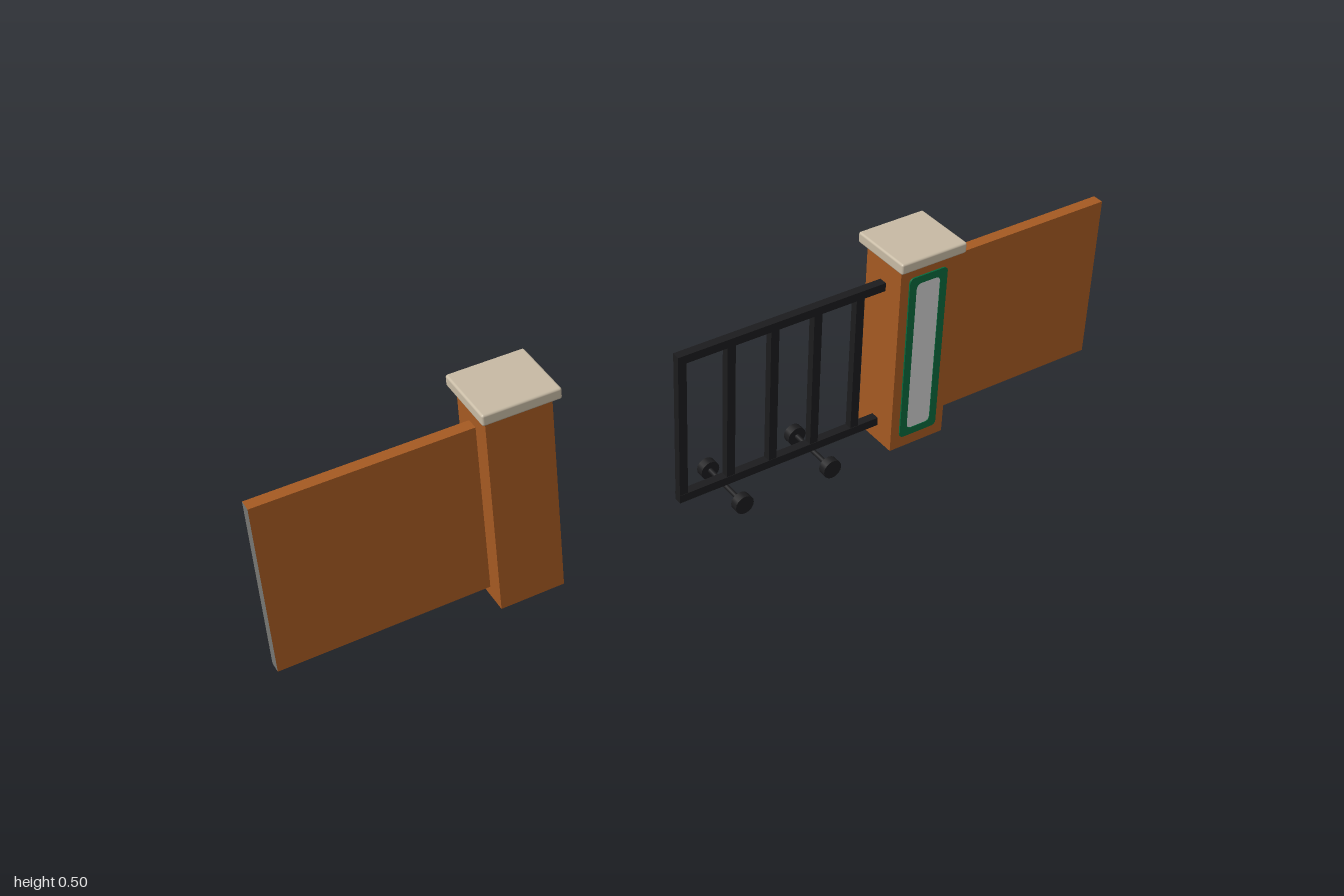
import * as THREE from 'three';
import { RoundedBoxGeometry } from 'three/addons/geometries/RoundedBoxGeometry.js';

const mat = (name, color) => {
  const m = new THREE.MeshStandardMaterial({ color });
  m.name = name;
  return m;
};

// Flat rounded rectangle outline centred on the origin
function roundedRect(Type, w, h, r) {
  const s = new Type(), x = w / 2, y = h / 2;
  s.moveTo(-x + r, -y);
  s.lineTo(x - r, -y);
  s.quadraticCurveTo(x, -y, x, -y + r);
  s.lineTo(x, y - r);
  s.quadraticCurveTo(x, y, x - r, y);
  s.lineTo(-x + r, y);
  s.quadraticCurveTo(-x, y, -x, y - r);
  s.lineTo(-x, -y + r);
  s.quadraticCurveTo(-x, -y, -x + r, -y);
  return s;
}

export function createModel() {
  const root = new THREE.Group();
  root.name = 'slidingGateEntrance';
  const brick = mat('terracotta', 0xa65a22);
  const stone = mat('cap stone', 0xc8bba5);
  const grey = mat('wall end grey', 0x777773);
  const black = mat('black iron', 0x1c1c1e);
  const green = mat('green frame', 0x08693c);
  const white = mat('sign panel', 0xcfd0d0);

  const add = (parent, name, geo, material, x, y, z) => {
    const m = new THREE.Mesh(geo, material);
    m.name = name;
    m.position.set(x, y, z);
    parent.add(m);
    return m;
  };

  // Pillars with caps, and a wall running outward from each
  for (const [side, px] of [[-1, -0.476], [1, 0.483]]) {
    const g = new THREE.Group();
    g.name = side < 0 ? 'rightSide' : 'leftSide';
    root.add(g);
    add(g, 'pillar', new THREE.BoxGeometry(0.142, 0.476, 0.12), brick, px, 0.238, 0);
    add(g, 'pillarCap', new RoundedBoxGeometry(0.168, 0.026, 0.156, 2, 0.005), stone, px, 0.487, 0);
    const inner = Math.abs(px) + 0.06, len = 1 - inner;
    const faces = [grey, grey, brick, brick, brick, brick];
    add(g, 'wall', new THREE.BoxGeometry(len, 0.403, 0.027), faces, side * (inner + len / 2), 0.2265, 0.001);
  }

  // Framed sign on the front and back of one pillar
  const frame = roundedRect(THREE.Shape, 0.098, 0.416, 0.012);
  frame.holes.push(roundedRect(THREE.Path, 0.062, 0.38, 0.014));
  const frameGeo = new THREE.ExtrudeGeometry(frame, { depth: 0.004, bevelEnabled: false, curveSegments: 5 });
  const panelGeo = new THREE.ExtrudeGeometry(roundedRect(THREE.Shape, 0.066, 0.384, 0.014),
    { depth: 0.0025, bevelEnabled: false, curveSegments: 5 });
  for (const s of [1, -1]) {
    const sign = new THREE.Group();
    sign.name = s > 0 ? 'frontSign' : 'backSign';
    sign.position.set(0.483, 0.237, s * 0.0595);
    if (s < 0) sign.rotation.y = Math.PI;
    add(sign, 'signFrame', frameGeo, green, 0, 0, 0);
    add(sign, 'signPanel', panelGeo, white, 0, 0, 0);
    root.add(sign);
  }

  // Sliding gate: two rails and evenly spaced bars
  const gate = new THREE.Group();
  gate.name = 'gate';
  root.add(gate);
  for (const y of [0.05, 0.405])
    add(gate, 'gateRail', new THREE.BoxGeometry(0.513, 0.02, 0.02), black, 0.1585, y, 0);
  for (const x of [-0.088, 0.029, 0.135, 0.242, 0.349])
    add(gate, 'gateBar', new THREE.BoxGeometry(0.02, 0.35, 0.018), black, x, 0.2275, 0);

  // Wheel pairs on axles under the gate
  const wheelGeo = new THREE.CylinderGeometry(0.0225, 0.0225, 0.019, 16).rotateX(Math.PI / 2);
  const axleGeo = new THREE.CylinderGeometry(0.006, 0.006, 0.13, 10).rotateX(Math.PI / 2);
  for (const x of [0.02, 0.245]) {
    add(gate, 'axle', axleGeo, black, x, 0.032, 0);
    for (const s of [1, -1]) add(gate, 'wheel', wheelGeo, black, x, 0.031, s * 0.0685);
  }
  return root;
}
